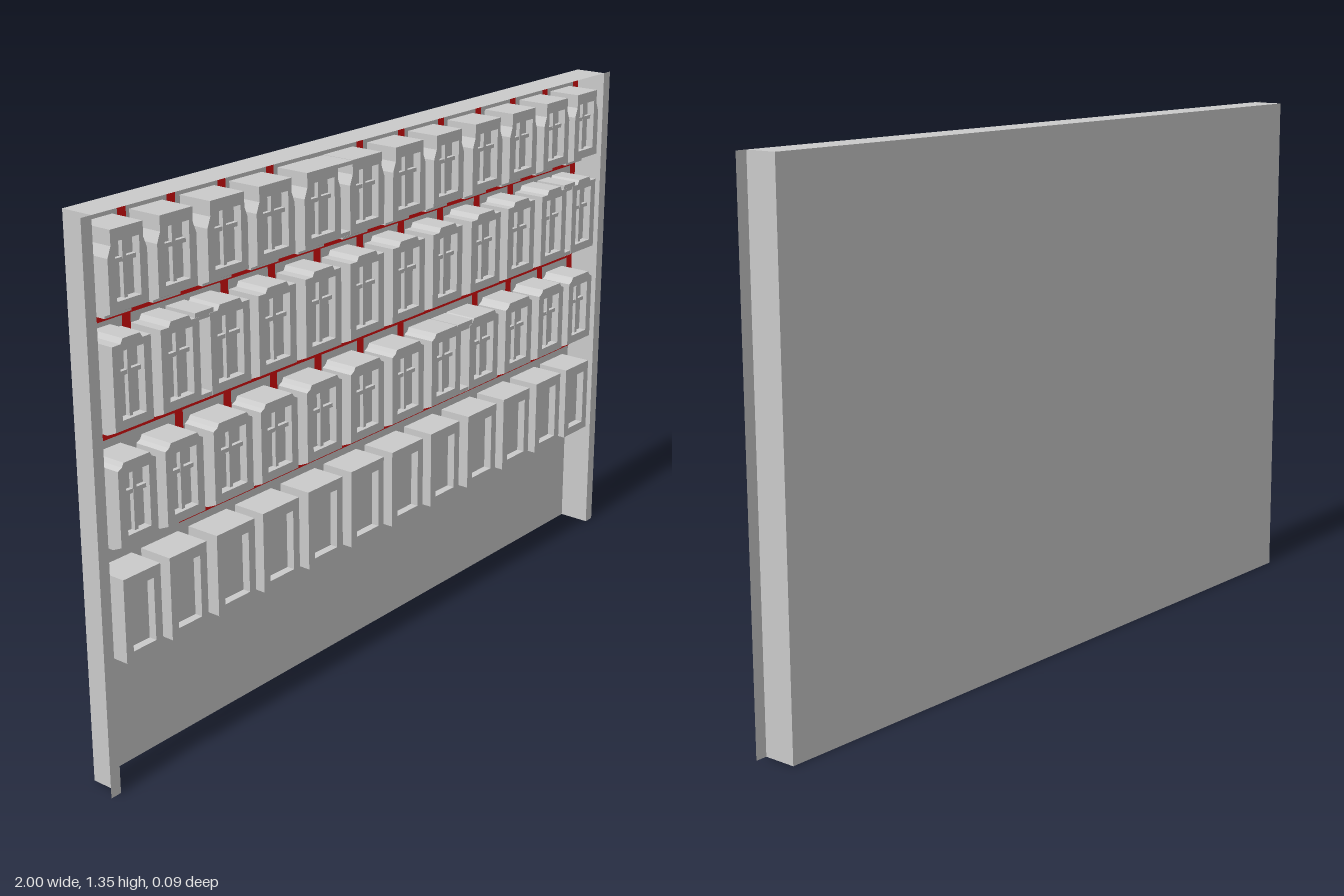
import * as THREE from 'three';

const BACK = -0.043, LIP = 0.043, FRONT = 0.047;
const TOP = 1.35, BASE = 0.29, HALF = 0.97;

const grey = new THREE.MeshStandardMaterial({ color: 0xcccccc, flatShading: true, side: THREE.DoubleSide });
const wallGrey = new THREE.MeshStandardMaterial({ color: 0xbdbdbd, flatShading: true, side: THREE.DoubleSide });
const red = new THREE.MeshStandardMaterial({ color: 0xe01010, side: THREE.DoubleSide });

// left and right edge of the window in each column
const columns = [
  [-0.935, -0.82], [-0.79, -0.67], [-0.635, -0.505], [-0.475, -0.345], [-0.31, -0.18], [-0.145, -0.015],
  [0.02, 0.15], [0.185, 0.31], [0.35, 0.48], [0.515, 0.64], [0.675, 0.795], [0.825, 0.94],
];
// trim bar positions between the columns
const bars = [-0.952, -0.805, -0.655, -0.493, -0.33, -0.165, 0, 0.165, 0.33, 0.493, 0.65, 0.805, 0.957];

// storeys: window bottom and top, head style, joined window pairs, trim extent
const rows = [
  { bottom: 1.13, top: 1.31, head: 'bottle', joined: [4], firstBar: 0, barLow: 1.095, barHigh: 1.335, joinGap: 0.01 },
  { bottom: 0.865, top: 1.07, head: 'raised', joined: [1, 10], firstBar: 0, barLow: 0.825, barHigh: 1.095, joinGap: 0.02 },
  { bottom: 0.597, top: 0.792, head: 'cut', joined: [7], firstBar: 2, barLow: 0.553, barHigh: 0.825, joinGap: 0.022 },
  { bottom: 0.315, top: 0.52, head: 'plain', joined: [] },
];

// box given by its limits
function block(name, x0, x1, y0, y1, z0, z1, material = grey) {
  const mesh = new THREE.Mesh(new THREE.BoxGeometry(x1 - x0, y1 - y0, z1 - z0), material);
  mesh.position.set((x0 + x1) / 2, (y0 + y1) / 2, (z0 + z1) / 2);
  mesh.name = name;
  return mesh;
}

// thin sheet
function sheet(name, w, h, x, y, z, material, rx = 0, ry = 0) {
  const mesh = new THREE.Mesh(new THREE.PlaneGeometry(w, h), material);
  mesh.position.set(x, y, z);
  mesh.rotation.set(rx, ry, 0);
  mesh.name = name;
  return mesh;
}

// right half of the outline of a window head, from the side up to the top
function headPoints(style, h, top) {
  if (style === 'bottle') return [[h, top - 0.06], [h - 0.01, top - 0.035], [h - 0.01, top]];
  if (style === 'raised') return [[h, top - 0.012], [h - 0.025, top - 0.012], [h - 0.032, top]];
  if (style === 'cut') return [[h, top - 0.016], [h - 0.012, top - 0.01], [h - 0.018, top]];
  return [[h, top]];
}

function windowUnit(x0, x1, row) {
  const g = new THREE.Group();
  g.name = 'window';
  const c = (x0 + x1) / 2, h = (x1 - x0) / 2, { bottom, top, head } = row;
  const right = headPoints(head, h, top);
  const left = right.map(([x, y]) => [-x, y]).reverse();
  const outline = [[-h, bottom], [h, bottom], ...right, ...left];
  const shape = new THREE.Shape(outline.map(([x, y]) => new THREE.Vector2(x, y)));

  // opening in the casing
  const w = h - 0.022, low = bottom + 0.022, high = top - 0.028;
  shape.holes.push(new THREE.Path([[-w, low], [-w, high], [w, high], [w, low]].map(([x, y]) => new THREE.Vector2(x, y))));
  const casing = new THREE.Mesh(new THREE.ExtrudeGeometry(shape, { depth: FRONT - BACK, bevelEnabled: false }), grey);
  casing.position.set(c, 0, BACK);
  casing.name = 'windowCasing';
  g.add(casing, sheet('windowPane', w * 2, high - low, c, (low + high) / 2, 0.026, grey));

  // glazing bars
  if (head !== 'plain') {
    const y = low + (high - low) * 0.65;
    g.add(block('verticalGlazingBar', c - 0.005, c + 0.005, low, high, 0.026, 0.037));
    g.add(block('crossGlazingBar', c - w, c + w, y - 0.005, y + 0.005, 0.026, 0.036));
  }
  return g;
}

// sill whose underside slopes back to the wall
function sill(x0, x1, y, drop) {
  const profile = new THREE.Shape([
    new THREE.Vector2(-FRONT, y), new THREE.Vector2(-BACK, y),
    new THREE.Vector2(-BACK, y - drop), new THREE.Vector2(-0.02, y - drop),
  ]);
  const mesh = new THREE.Mesh(new THREE.ExtrudeGeometry(profile, { depth: x1 - x0, bevelEnabled: false }), grey);
  mesh.rotation.y = Math.PI / 2;
  mesh.position.x = x0;
  mesh.name = 'windowSill';
  return mesh;
}

export function createModel() {
  const model = new THREE.Group();
  model.name = 'facade';

  // shallow shell, open at the front and below
  const upper = TOP - BASE, mid = (TOP + BASE) / 2, depth = LIP - BACK;
  model.add(sheet('upperWall', HALF * 2, upper, 0, mid, BACK, wallGrey));
  model.add(sheet('baseWall', HALF * 2, BASE, 0, BASE / 2, BACK, grey));
  model.add(sheet('topPanel', HALF * 2, depth, 0, TOP, 0, wallGrey, -Math.PI / 2));
  for (const s of [-1, 1]) {
    model.add(sheet('upperSideWall', depth, upper, s * HALF, mid, 0, wallGrey, 0, s * Math.PI / 2));
    model.add(sheet('baseSideWall', depth, BASE, s * HALF, BASE / 2, 0, grey, 0, s * Math.PI / 2));
    model.add(sheet('upperFlange', 1 - HALF, upper, s * (1 + HALF) / 2, mid, LIP, wallGrey));
    model.add(sheet('baseFlange', 1 - HALF, BASE, s * (1 + HALF) / 2, BASE / 2, LIP, grey));
  }

  for (const row of rows) {
    const storey = new THREE.Group();
    storey.name = 'storey';
    model.add(storey);

    columns.forEach(([x0, x1], i) => {
      storey.add(windowUnit(x0, x1, row));
      if (row.head === 'plain') return;
      storey.add(sill(x0, x1, row.bottom, 0.012));
      if (row.head === 'bottle') storey.add(block('sillBracket', x0 + 0.018, x1 - 0.018, row.bottom - 0.022, row.bottom - 0.012, BACK, 0.01));
    });

    // header and sill linking a pair of windows
    for (const i of row.joined) {
      const x0 = columns[i][1], x1 = columns[i + 1][0];
      storey.add(block('linkHeader', x0 - 0.012, x1 + 0.012, row.top - row.joinGap, row.top - 0.001, BACK, FRONT - 0.001));
      storey.add(block('linkSill', x0, x1, row.bottom, row.bottom + 0.01, BACK, FRONT - 0.001));
      storey.add(sill(x0, x1, row.bottom, 0.012));
    }

    // red trim on the wall
    if (row.barLow === undefined) continue;
    const start = bars[row.firstBar], end = bars[bars.length - 1], t = 0.013;
    const zTrim = BACK + 0.002;
    const levels = row === rows[0] ? [row.barLow, row.barHigh] : [row.barLow];
    for (const y of levels) {
      storey.add(sheet('trimBand', end - start + 2 * t, 2 * t, (start + end) / 2, y, zTrim, red));
    }
    bars.forEach((x, i) => {
      if (i < row.firstBar || row.joined.includes(i - 1)) return;
      storey.add(sheet('trimPost', 2 * t, row.barHigh - row.barLow - 2 * t, x, (row.barLow + row.barHigh) / 2, zTrim, red));
    });
  }
  return model;
}
